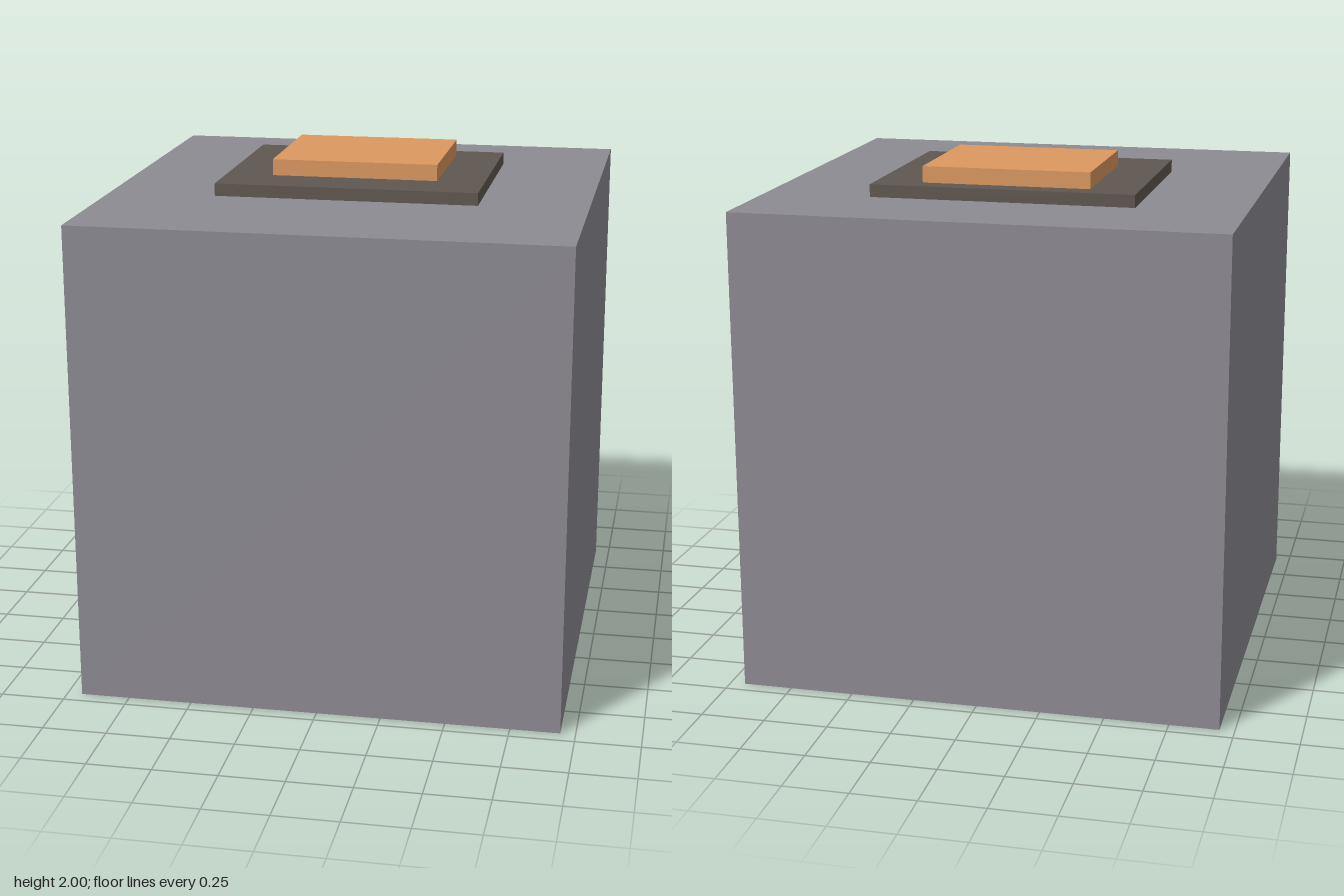
import * as THREE from 'three';

// Box given by its extents along each axis
function block(name, color, [x0, x1], [y0, y1], [z0, z1]) {
  const mesh = new THREE.Mesh(
    new THREE.BoxGeometry(x1 - x0, y1 - y0, z1 - z0),
    new THREE.MeshStandardMaterial({ color })
  );
  mesh.position.set((x0 + x1) / 2, (y0 + y1) / 2, (z0 + z1) / 2);
  mesh.name = name;
  return mesh;
}

export function createModel() {
  const model = new THREE.Group();
  model.name = 'stackedBlock';
  model.add(
    // Large cube
    block('body', 0x8e8b93, [-0.942, 0.942], [0, 1.887], [-0.942, 0.942]),
    // Dark plate, set towards the back of the top
    block('plate', 0x5f5750, [-0.518, 0.518], [1.887, 1.936], [-0.518, 0.33]),
    // Orange pad on the plate
    block('pad', 0xdc9860, [-0.33, 0.33], [1.936, 2], [-0.433, 0.127])
  );
  return model;
}
